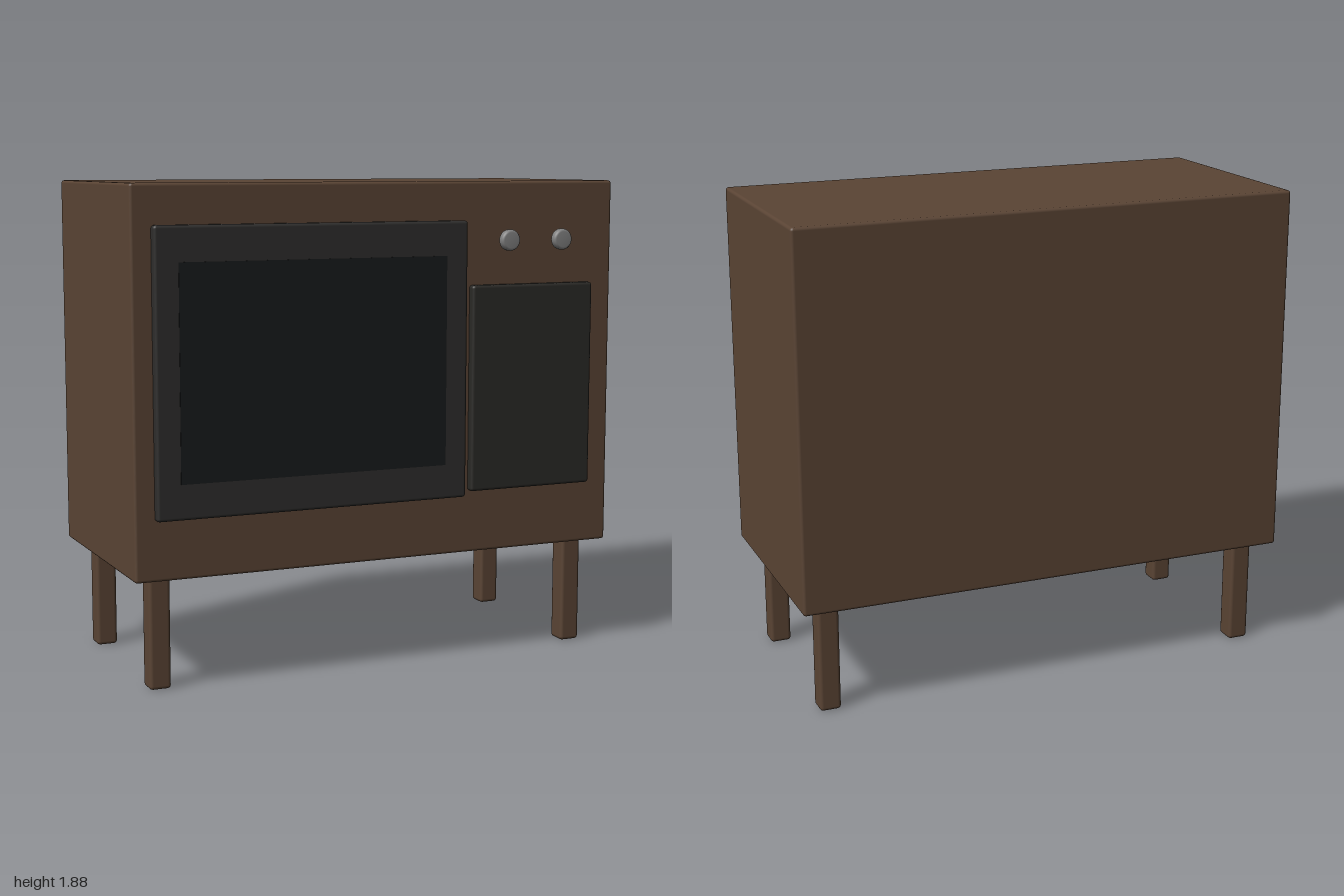
import * as THREE from 'three';
import { RoundedBoxGeometry } from 'three/addons/geometries/RoundedBoxGeometry.js';

const material = (color) => new THREE.MeshStandardMaterial({ color });
const wood = material(0x5a4434);
const frameMat = material(0x2e2d2c);
const screenMat = material(0x181a1c);
const panelMat = material(0x2a2926);
const knobMat = material(0x808080);

// Softly bevelled box given by its min and max corners
function block(name, min, max, bevel, mat) {
  const size = max.map((v, i) => v - min[i]);
  const mesh = new THREE.Mesh(new RoundedBoxGeometry(...size, 2, bevel), mat);
  mesh.position.set(...max.map((v, i) => (v + min[i]) / 2));
  mesh.name = name;
  return mesh;
}

export function createModel() {
  const group = new THREE.Group();
  group.name = 'cabinetTelevision';

  // Wooden cabinet
  group.add(block('cabinet', [-1, 0.43, -0.49], [1, 1.885, 0.428], 0.012, wood));

  // Four bevelled square legs
  for (const x of [-0.885, 0.885]) {
    for (const z of [-0.378, 0.317]) {
      const name = (z > 0 ? 'front' : 'back') + (x > 0 ? 'Left' : 'Right') + 'Leg';
      group.add(block(name, [x - 0.042, 0, z - 0.042], [x + 0.042, 0.43, z + 0.042], 0.014, wood));
    }
  }

  // Screen surround, with the glass almost flush in its face
  group.add(block('screenFrame', [-0.922, 0.658, 0.41], [0.342, 1.735, 0.46], 0.012, frameMat));
  const screen = new THREE.Mesh(new THREE.BoxGeometry(1.08, 0.81, 0.02), screenMat);
  screen.position.set(-0.29, 1.197, 0.452);
  screen.name = 'screen';
  group.add(screen);

  // Speaker panel
  group.add(block('speakerPanel', [0.365, 0.677, 0.41], [0.9, 1.485, 0.459], 0.012, panelMat));

  // Two round knobs with rolled rims, standing just clear of the cabinet
  const profile = [[0, -0.018], [0.03, -0.018], [0.037, -0.015], [0.041, -0.008],
    [0.041, 0.008], [0.037, 0.015], [0.03, 0.018], [0, 0.018]]
    .map(([r, y]) => new THREE.Vector2(r, y));
  const knobGeo = new THREE.LatheGeometry(profile, 32).rotateX(Math.PI / 2);
  for (const [name, x] of [['channelKnob', 0.515], ['volumeKnob', 0.746]]) {
    const knob = new THREE.Mesh(knobGeo, knobMat);
    knob.position.set(x, 1.658, 0.472);
    knob.name = name;
    group.add(knob);
  }

  return group;
}
